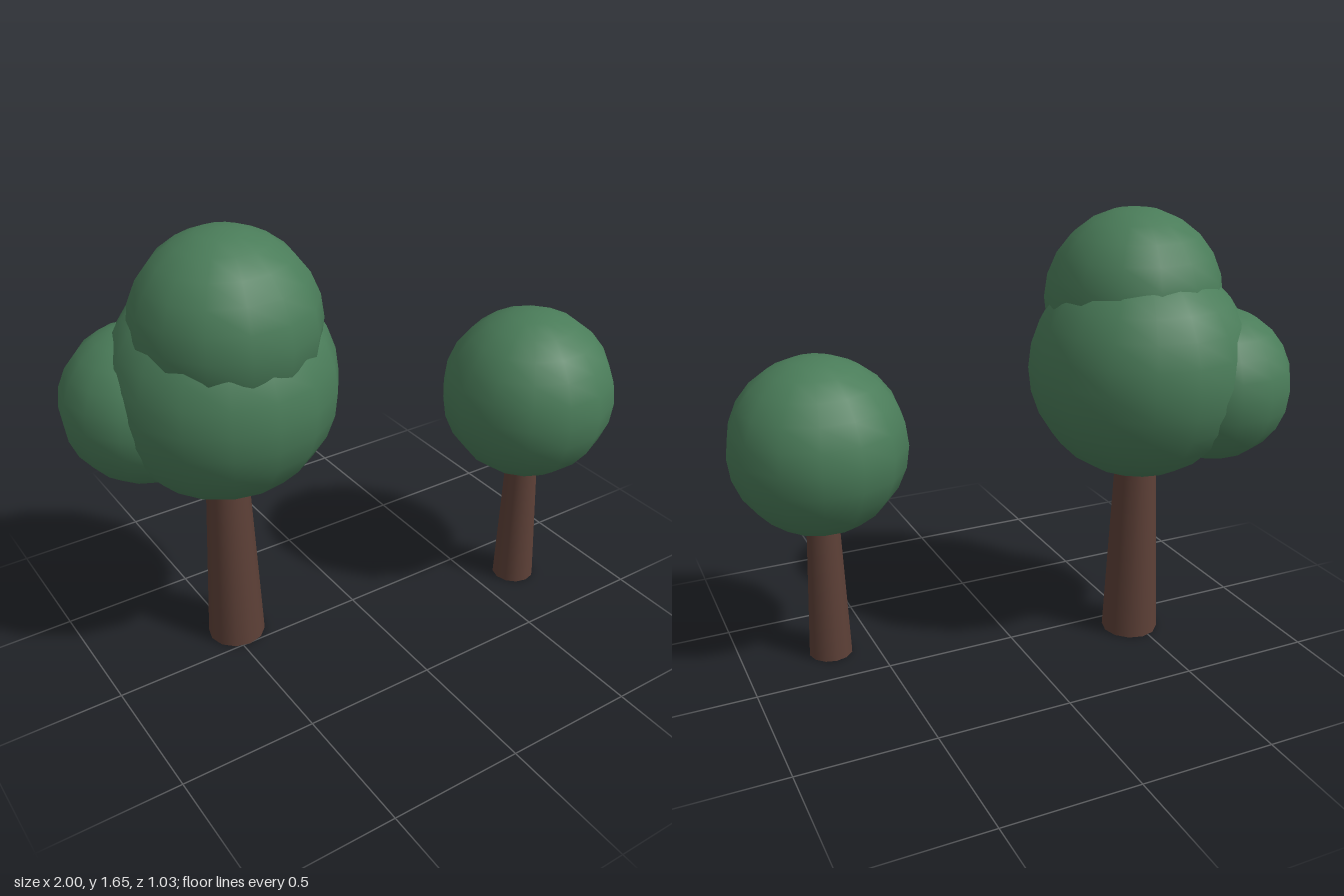
import * as THREE from 'three';

export function createModel() {
  const model = new THREE.Group();
  const leafGreen = new THREE.MeshStandardMaterial({ color: 0x4a7c59 });
  leafGreen.name = 'leafGreen';
  const barkBrown = new THREE.MeshStandardMaterial({ color: 0x5d4037 });
  barkBrown.name = 'barkBrown';

  // Tapered trunk standing on the ground
  const addTrunk = (tree, rTop, rBottom, height) => {
    const trunk = new THREE.Mesh(new THREE.CylinderGeometry(rTop, rBottom, height, 12), barkBrown);
    trunk.name = 'trunk';
    trunk.position.y = height / 2;
    tree.add(trunk);
  };

  // Smooth ball of leaves, placed relative to its trunk
  const addFoliage = (tree, name, r, sides, rings, x, y, z) => {
    const ball = new THREE.Mesh(new THREE.SphereGeometry(r, sides, rings), leafGreen);
    ball.name = name;
    ball.position.set(x, y, z);
    tree.add(ball);
  };

  // Large tree: three overlapping balls
  const largeTree = new THREE.Group();
  largeTree.name = 'largeTree';
  largeTree.position.set(-0.473, 0, -0.102);
  addTrunk(largeTree, 0.072, 0.108, 0.82);
  addFoliage(largeTree, 'mainFoliage', 0.41, 16, 14, 0, 1.08, 0);
  addFoliage(largeTree, 'upperFoliage', 0.326, 14, 12, 0, 1.325, 0.063);
  addFoliage(largeTree, 'sideFoliage', 0.285, 14, 12, -0.242, 1.02, -0.124);
  model.add(largeTree);

  // Small tree: a single ball
  const smallTree = new THREE.Group();
  smallTree.name = 'smallTree';
  smallTree.position.set(0.67, 0, 0.2);
  addTrunk(smallTree, 0.059, 0.083, 0.62);
  addFoliage(smallTree, 'foliage', 0.328, 14, 12, 0, 0.845, 0);
  model.add(smallTree);

  return model;
}
